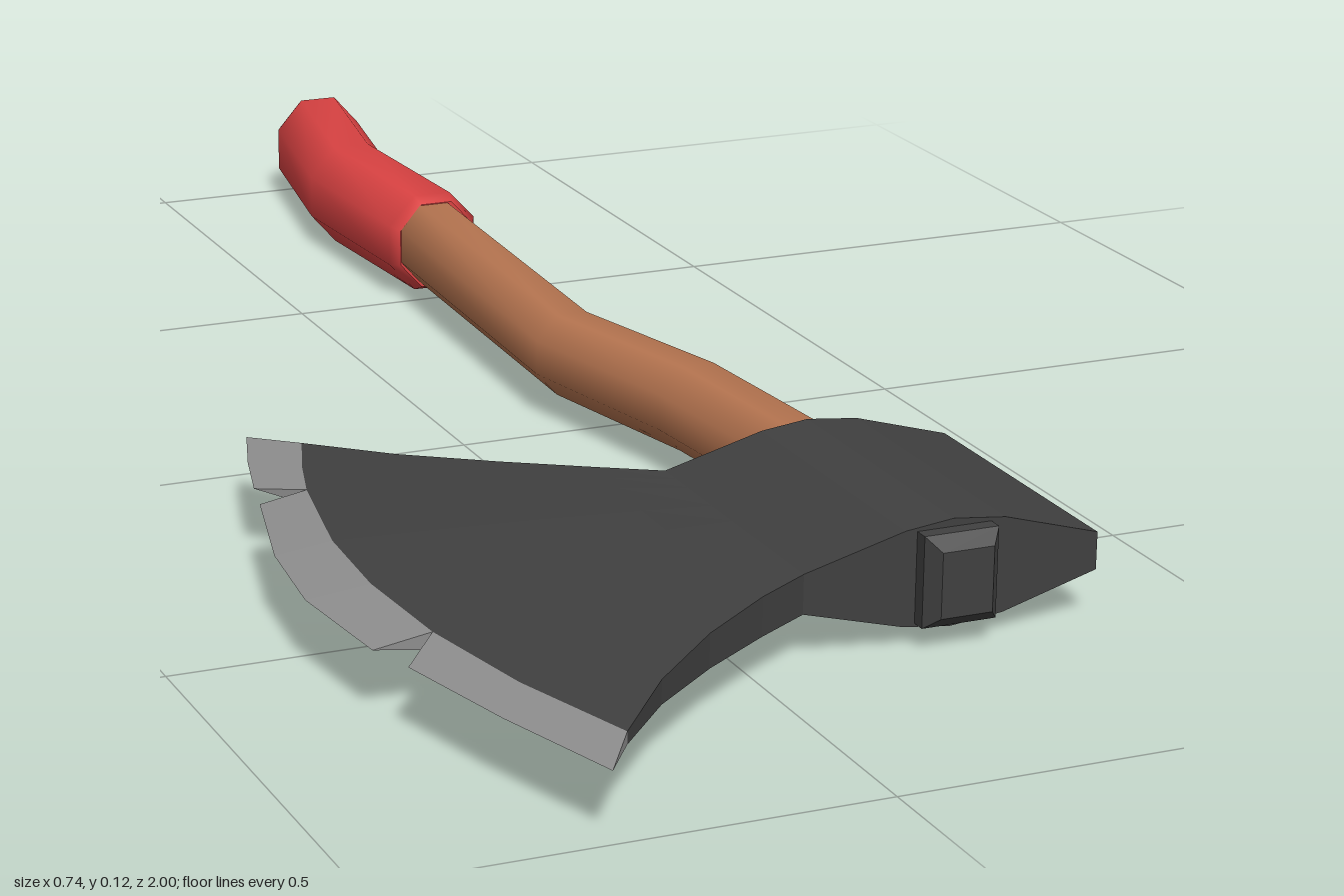
import * as THREE from 'three';

const Y = 0.068; // mid height of the head

// Skin over closed rings of [x, y, z]; rings run counter-clockwise seen from the first end
function loft(rings) {
  const n = rings[0].length, pos = rings.flat(2), index = [];
  for (let i = 0; i < rings.length - 1; i++) {
    for (let j = 0; j < n; j++) {
      const a = i * n + j, b = i * n + (j + 1) % n;
      index.push(a, a + n, b, b, a + n, b + n);
    }
  }
  // separate cap vertices keep the ends sharp
  [rings[0], rings[rings.length - 1]].forEach((ring, end) => {
    const start = pos.length / 3;
    pos.push(...ring.flat());
    pos.push(...[0, 1, 2].map(k => ring.reduce((s, p) => s + p[k], 0) / n));
    for (let j = 0; j < n; j++) {
      const a = start + j, b = start + (j + 1) % n;
      if (end) index.push(start + n, b, a);
      else index.push(start + n, a, b);
    }
  });
  const g = new THREE.BufferGeometry();
  g.setAttribute('position', new THREE.Float32BufferAttribute(pos, 3));
  g.setIndex(index);
  g.computeVertexNormals();
  return g;
}

// Regular ring across z, given its half width and half height
function ring(n, [x, y, z, rx, ry]) {
  const k = 1 / Math.cos(Math.PI / n);
  return Array.from({ length: n }, (_, j) => {
    const a = (j + 0.5) / n * Math.PI * 2;
    return [x + Math.cos(a) * rx * k, y + Math.sin(a) * ry * k, z];
  });
}

// Flat-faced version of a geometry
function faceted(g) {
  const f = g.index ? g.toNonIndexed() : g;
  f.computeVertexNormals();
  return f;
}

export function createModel() {
  const group = new THREE.Group();
  const material = (name, color) => {
    const m = new THREE.MeshStandardMaterial({ color });
    m.name = name;
    return m;
  };
  const iron = material('dark iron', 0x404040);
  const steel = material('edge steel', 0x8e8e8e);
  const wood = material('wood', 0xb87651);
  const red = material('red grip', 0xdc4343);
  const add = (name, geometry, mat) => {
    const m = new THREE.Mesh(geometry, mat);
    m.name = name;
    group.add(m);
  };

  // Handle and grip, from the head backwards
  add('handle', loft([
    [0.215, Y, 0.68, 0.04, 0.045],
    [0.215, Y, 0.38, 0.042, 0.046],
    [0.197, Y, 0.16, 0.044, 0.046],
    [0.15, 0.066, -0.06, 0.041, 0.045],
    [0.17, 0.064, -0.54, 0.041, 0.047],
  ].map(r => ring(8, r))), wood);
  add('grip', loft([
    [0.172, 0.062, -0.51, 0.045, 0.05],
    [0.172, 0.062, -0.525, 0.053, 0.057],
    [0.16, 0.06, -0.76, 0.052, 0.059],
    [0.198, 0.06, -0.98, 0.053, 0.06],
    [0.2, 0.06, -1, 0.046, 0.052],
  ].map(r => ring(8, r))), red);

  // Peg showing at the front of the head
  add('peg', faceted(loft([
    [0.216, Y, 0.72, 0.027, 0.033],
    [0.216, Y, 0.705, 0.039, 0.046],
    [0.216, Y, 0.67, 0.039, 0.046],
  ].map(r => ring(4, r)))), iron);

  // Socket block with a swelling around the handle
  const half = [[0.37, 0.019], [0.27, 0.048], [0.215, 0.054], [0.165, 0.048], [0.06, 0.02]];
  const outline = [...half, ...half.map(([x, h]) => [x, -h]).reverse()];
  const block = new THREE.ExtrudeGeometry(
    new THREE.Shape(outline.map(([x, h]) => new THREE.Vector2(x, Y + h))),
    { depth: 0.31, bevelEnabled: false });
  block.translate(0, 0, 0.38);
  add('headBlock', faceted(block), iron);

  // Flaring blade: columns of x, half length, bulge and half thickness
  const S = [-1, -0.83, -0.66, -0.3, 0, 0.33, 0.67, 1];
  const columns = [
    [0.06, 0.155, 0, 0.02],
    [0, 0.192, 0.01, 0.0205],
    [-0.08, 0.25, 0.03, 0.0195],
    [-0.16, 0.322, 0.056, 0.0155],
    [-0.23, 0.405, 0.08, 0.009],
  ];
  const bladePoint = ([x, len, bulge, h], s, side) => [
    x - bulge * (1 - s * s),
    Y + side * h * (1 - 4 * bulge * s * s),
    0.535 + len * s,
  ];
  add('blade', faceted(loft(columns.map(c => [
    ...S.map(s => bladePoint(c, s, 1)),
    ...[...S].reverse().map(s => bladePoint(c, s, -1)),
  ]))), iron);

  // Sharpened edge in three pieces with notches between: border index, outer x and z
  const border = columns[columns.length - 1];
  [
    [[7, -0.27, 1], [6, -0.312, 0.86], [5, -0.345, 0.72]],
    [[5, -0.36, 0.67], [4, -0.373, 0.53], [3, -0.36, 0.41], [2, -0.325, 0.27]],
    [[2, -0.315, 0.225], [1, -0.295, 0.15], [0, -0.27, 0.075]],
  ].forEach((piece, i) => {
    add('cuttingEdge' + (i + 1), faceted(loft(piece.map(([k, x, z]) => [
      bladePoint(border, S[k], 1), [x, Y, z], bladePoint(border, S[k], -1),
    ]))), steel);
  });

  return group;
}
